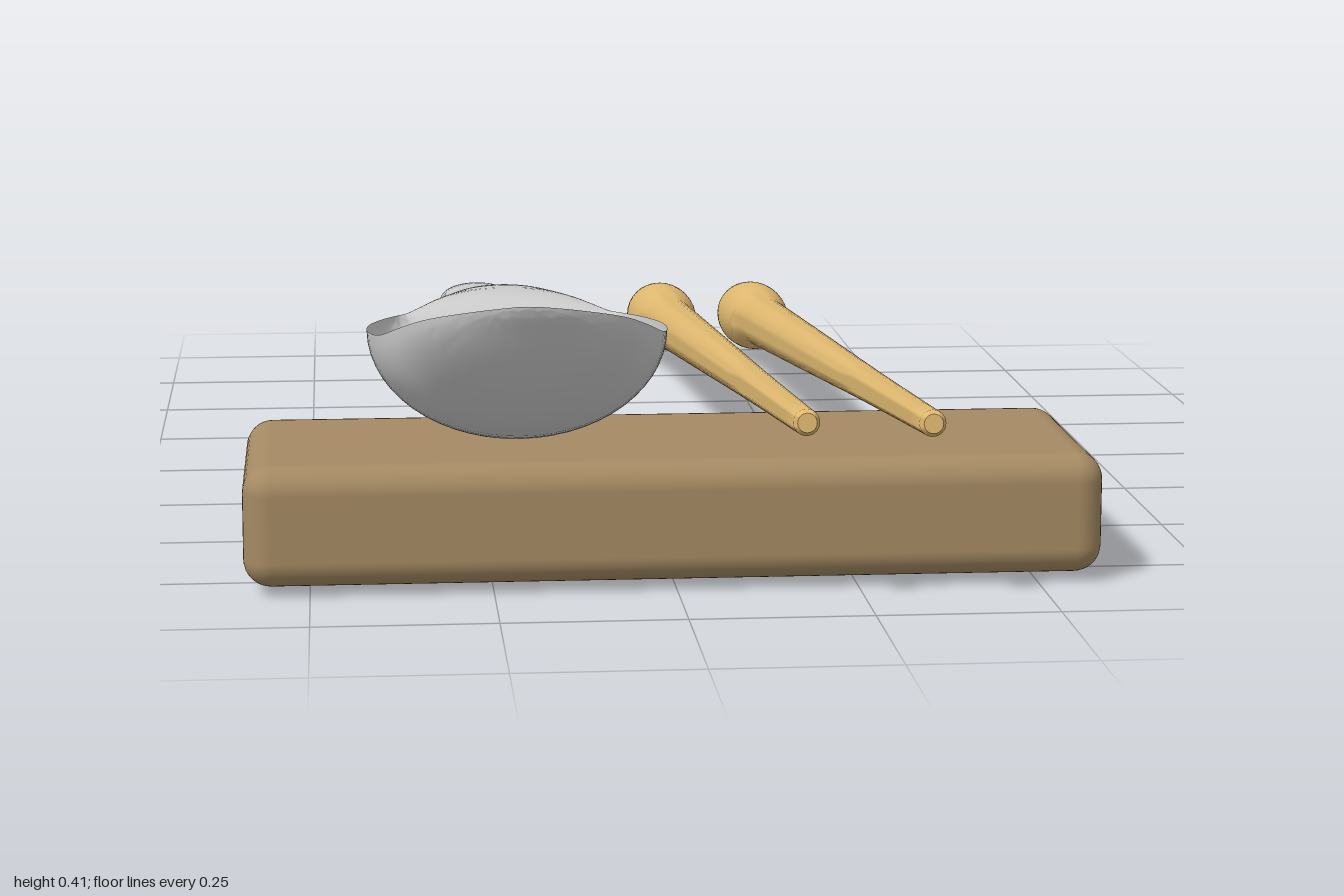
import * as THREE from 'three';
import { toCreasedNormals } from 'three/addons/utils/BufferGeometryUtils.js';
import { RoundedBoxGeometry } from 'three/addons/geometries/RoundedBoxGeometry.js';

const SPOON_X = -0.208;

// Spoon stations from bowl tip to hooked handle end:
// [z, rim height, tilt, half width, rise of top face, drop of underside]
const STATIONS = [
  [0.947, 0.415, 0, 0.015, 0, 0.006],
  [0.935, 0.408, 0, 0.065, -0.004, 0.022],
  [0.9, 0.393, 0, 0.128, -0.035, 0.066],
  [0.85, 0.374, 0, 0.164, -0.072, 0.108],
  [0.78, 0.351, 0, 0.194, -0.108, 0.139],
  [0.67, 0.338, 0, 0.209, -0.125, 0.156],
  [0.58, 0.331, 0, 0.205, -0.12, 0.151],
  [0.5, 0.325, 0, 0.185, -0.09, 0.122],
  [0.45, 0.321, 0, 0.166, -0.045, 0.088],
  [0.41, 0.318, 0, 0.148, 0.005, 0.058],
  [0.36, 0.316, 0, 0.124, 0.024, 0.046],
  [0.28, 0.312, 0, 0.094, 0.024, 0.04],
  [0.18, 0.3, 0, 0.076, 0.022, 0.034],
  [0, 0.266, 0.1, 0.069, 0.02, 0.026],
  [-0.3, 0.213, 0.1, 0.066, 0.02, 0.024],
  [-0.6, 0.168, 0.1, 0.061, 0.018, 0.024],
  [-0.76, 0.152, 0.15, 0.058, 0.022, 0.026],
  [-0.83, 0.13, 0.6, 0.065, 0.028, 0.03],
  [-0.876, 0.088, 1.15, 0.071, 0.032, 0.03],
  [-0.888, 0.045, 1.5, 0.067, 0.034, 0.026],
  [-0.88, 0.015, 1.7, 0.048, 0.026, 0.02],
  [-0.872, 0.003, 1.75, 0.012, 0.006, 0.006],
];

function spoonGeometry() {
  const path = new THREE.CatmullRomCurve3(
    STATIONS.map(([z, y, tilt]) => new THREE.Vector3(z, y, tilt)), false, 'catmullrom', 0.5);
  const size = new THREE.CatmullRomCurve3(
    STATIONS.map(([, , , w, up, down]) => new THREE.Vector3(w, up, down)), false, 'catmullrom', 0.5);
  const rings = (STATIONS.length - 1) * 5, sides = 56, pos = [], index = [];
  for (let i = 0; i <= rings; i++) {
    const p = path.getPoint(i / rings), s = size.getPoint(i / rings);
    for (let j = 0; j < sides; j++) {
      // first half of the loop is the underside, second half the top face
      const a = (j / sides) * Math.PI * 2;
      const h = j <= sides / 2 ? -s.z * Math.sin(a) : -s.y * Math.sin(a);
      pos.push(s.x * Math.cos(a), p.y + h * Math.cos(p.z), p.x - h * Math.sin(p.z));
    }
  }
  for (let i = 0; i < rings; i++) {
    for (let j = 0; j < sides; j++) {
      const k = (j + 1) % sides;
      const a = i * sides + j, b = i * sides + k;
      index.push(a, b, a + sides, b, b + sides, a + sides);
    }
  }
  // end caps
  for (const [ring, flip] of [[0, true], [rings, false]]) {
    const o = ring * sides;
    for (let j = 1; j < sides - 1; j++) {
      if (flip) index.push(o, o + j + 1, o + j);
      else index.push(o, o + j, o + j + 1);
    }
  }
  const geo = new THREE.BufferGeometry();
  geo.setAttribute('position', new THREE.Float32BufferAttribute(pos, 3));
  geo.setIndex(index);
  return toCreasedNormals(geo, 0.9);
}

// Turned stick with a knob at the thick end and a narrow tip
function chopstickGeometry(length) {
  const shaft = new THREE.SplineCurve([
    [0.058, 0.012], [0.061, 0.06], [0.059, 0.12], [0.051, 0.18], [0.045, 0.24],
    [0.042, 0.4], [0.034, 0.9], [0.025, 1.45], [0.018, length - 0.008],
  ].map(([r, y]) => new THREE.Vector2(r, y))).getPoints(40);
  const profile = [
    new THREE.Vector2(0, 0), new THREE.Vector2(0.03, 0.001), new THREE.Vector2(0.05, 0.004),
    ...shaft, new THREE.Vector2(0.013, length), new THREE.Vector2(0, length),
  ];
  return toCreasedNormals(new THREE.LatheGeometry(profile, 32), 0.8);
}

export function createModel() {
  const model = new THREE.Group();
  const add = (name, geometry, color) => {
    const mesh = new THREE.Mesh(geometry, new THREE.MeshStandardMaterial({ color }));
    mesh.name = name;
    model.add(mesh);
    return mesh;
  };

  // Wooden rest block
  add('restBlock', new RoundedBoxGeometry(1.18, 0.168, 0.384, 5, 0.038), 0xa58a63)
    .position.set(0, 0.097, 0.66);

  // Spoon
  add('spoon', spoonGeometry(), 0xcccccc).position.x = SPOON_X;

  // Pair of chopsticks
  const sticks = [
    ['innerChopstick', 0.138, 0.156, 0.264],
    ['outerChopstick', 0.307, 0.324, 0.26],
  ];
  for (const [name, endX, tipX, tipY] of sticks) {
    const end = new THREE.Vector3(endX, 0.074, -0.995);
    const axis = new THREE.Vector3(tipX, tipY, 0.998).sub(end);
    const stick = add(name, chopstickGeometry(axis.length()), 0xe0b970);
    stick.position.copy(end);
    stick.quaternion.setFromUnitVectors(new THREE.Vector3(0, 1, 0), axis.normalize());
  }
  return model;
}
